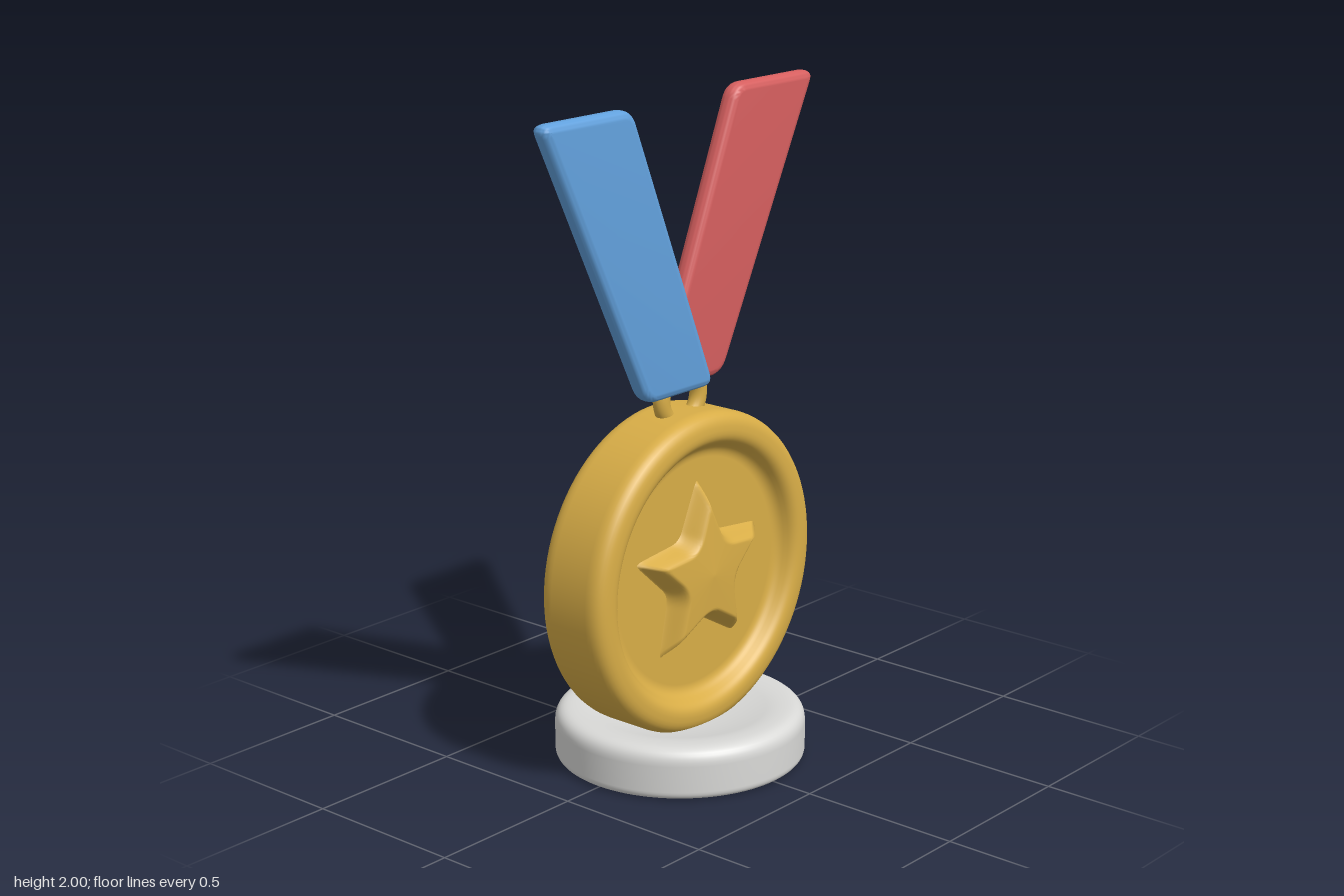
import * as THREE from 'three';
import { toCreasedNormals } from 'three/addons/utils/BufferGeometryUtils.js';

const mat = (name, color) => new THREE.MeshStandardMaterial({ name, color });

// Path through corners [x, y, radius], each corner rounded off
function roundedPath(corners, closed, path = new THREE.Shape()) {
  const n = corners.length;
  let started = false;
  const go = (x, y) => { started ? path.lineTo(x, y) : path.moveTo(x, y); started = true; };
  corners.forEach(([x, y, r], i) => {
    if (!r || (!closed && (i === 0 || i === n - 1))) return go(x, y);
    const c = new THREE.Vector2(x, y);
    const toward = ([px, py]) => new THREE.Vector2(px, py).sub(c).setLength(r).add(c);
    const a = toward(corners[(i + n - 1) % n]);
    const b = toward(corners[(i + 1) % n]);
    go(a.x, a.y);
    path.quadraticCurveTo(x, y, b.x, b.y);
  });
  if (closed) path.closePath();
  return path;
}

const lathe = (corners) =>
  new THREE.LatheGeometry(roundedPath(corners, false, new THREE.Path()).getPoints(8), 96);

// Domed star: height rises from the outline inward, highest at the centre
function starGeometry() {
  const corners = [];
  for (let i = 0; i < 10; i++) {
    const a = Math.PI / 2 + i * Math.PI / 5;
    const r = i % 2 ? 0.143 : 0.305;
    corners.push([Math.cos(a) * r, Math.sin(a) * r, i % 2 ? 0.03 : 0.045]);
  }
  const outline = roundedPath(corners, true).getSpacedPoints(200).slice(0, 200);
  const n = outline.length, rings = 28, floor = 0.062;
  const seg = new THREE.Line3(), p = new THREE.Vector3(), q = new THREE.Vector3();
  const edgeDistance = (x, y) => {
    let best = Infinity;
    p.set(x, y, 0);
    for (let i = 0; i < n; i++) {
      const a = outline[i], b = outline[(i + 1) % n];
      seg.start.set(a.x, a.y, 0);
      seg.end.set(b.x, b.y, 0);
      seg.closestPointToPoint(p, true, q);
      best = Math.min(best, q.distanceTo(p));
    }
    return best;
  };
  const pos = [0, 0, 0.135], index = [];
  for (let k = 1; k <= rings; k++) {
    for (let i = 0; i < n; i++) {
      const x = outline[i].x * k / rings, y = outline[i].y * k / rings;
      const top = 0.135 - 0.065 * Math.hypot(x, y);
      const rise = THREE.MathUtils.smoothstep(edgeDistance(x, y), 0, 0.042);
      pos.push(x, y, floor + (top - floor) * rise);
      const j = (i + 1) % n, row = 1 + (k - 1) * n;
      if (k === 1) index.push(0, 1 + i, 1 + j);
      else index.push(row - n + i, row + i, row + j, row - n + i, row + j, row - n + j);
    }
  }
  const geo = new THREE.BufferGeometry();
  geo.setAttribute('position', new THREE.Float32BufferAttribute(pos, 3));
  geo.setIndex(index);
  geo.computeVertexNormals();
  return geo;
}

// Slanted strap with soft edges, filling z from 0 to 0.06
function ribbonGeometry(side) {
  const corners = [
    [-0.63, 2, 0.045], [-0.205, 1.14, 0.05], [0.095, 1.14, 0.05], [-0.26, 2, 0.045],
  ].map(([x, y, r]) => [x * side, y, r]);
  if (side < 0) corners.reverse();
  const geo = new THREE.ExtrudeGeometry(roundedPath(corners, true), {
    depth: 0.01, bevelThickness: 0.024, bevelSize: 0.024, bevelOffset: -0.024,
    bevelSegments: 6, curveSegments: 8,
  });
  geo.translate(0, 0, 0.026);
  return toCreasedNormals(geo, 0.9);
}

export function createModel() {
  const gold = mat('gold', 0xd8ad47);
  const blue = mat('blue', 0x62a1dd);
  const red = mat('red', 0xd65f5f);
  const white = mat('white', 0xd9d9d7);

  const model = new THREE.Group();
  model.name = 'medalTrophy';
  const add = (name, geo, material, parent = model) => {
    const mesh = new THREE.Mesh(geo, material);
    mesh.name = name;
    parent.add(mesh);
    return mesh;
  };

  // Round foot with a shallow dish on top
  add('base', lathe([
    [0, 0], [0.378, 0, 0.025], [0.378, 0.155, 0.05], [0.29, 0.155, 0.03], [0.15, 0.122, 0.1], [0, 0.118],
  ]), white);

  // Disc with a raised rim and a recess on both faces
  const medal = new THREE.Group();
  medal.name = 'medal';
  medal.position.y = 0.59;
  model.add(medal);
  const half = [
    [0.49, 0.12, 0.055], [0.405, 0.12, 0.025], [0.372, 0.065, 0.025], [0, 0.065],
  ];
  const back = half.map(([r, z, c]) => [r, -z, c]).reverse();
  add('disc', lathe([...back, ...half]).rotateX(Math.PI / 2), gold, medal);

  // Star on each face
  const star = starGeometry();
  add('frontStar', star, gold, medal);
  add('backStar', star, gold, medal).rotation.y = Math.PI;

  // Hanging ring
  add('ring', new THREE.TorusGeometry(0.082, 0.026, 20, 64), gold).position.y = 1.118;

  // Crossed ribbons, one in front of the other
  add('frontRibbon', ribbonGeometry(1), blue);
  add('backRibbon', ribbonGeometry(-1), red).position.z = -0.062;

  return model;
}
